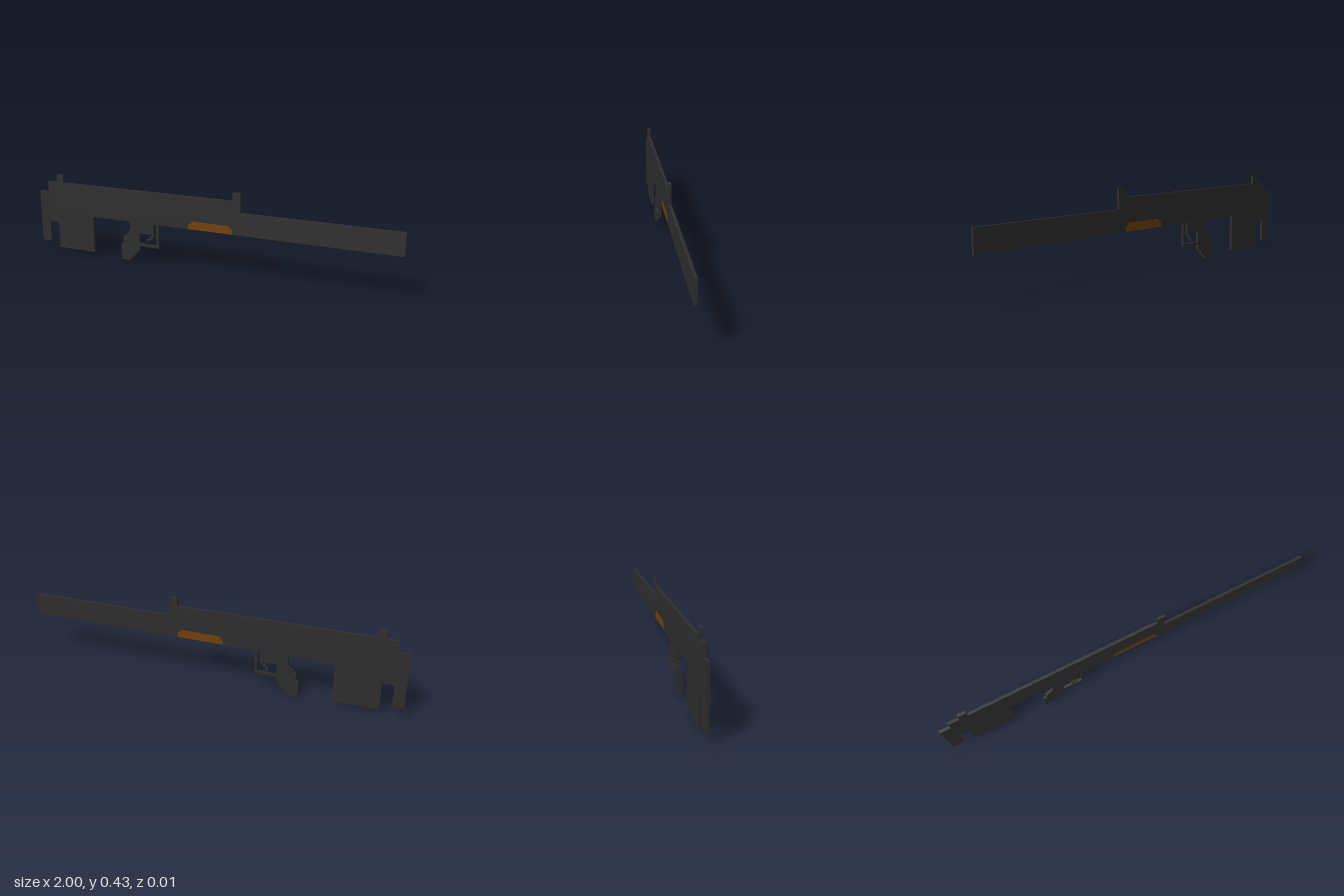
import * as THREE from 'three';

const U = 2 / 140; // one pixel of the sprite-like silhouette

export function createModel() {
  const group = new THREE.Group();
  const gunmetal = new THREE.MeshStandardMaterial({ color: 0x2e2e2e });
  gunmetal.name = 'gunmetal';
  const wood = new THREE.MeshStandardMaterial({ color: 0x724109 });
  wood.name = 'wood';

  // Flat part one pixel thick, from corners given in pixels
  function plate(name, corners, material = gunmetal) {
    const shape = new THREE.Shape(corners.map(([x, y]) => new THREE.Vector2(x * U, y * U)));
    const geometry = new THREE.ExtrudeGeometry(shape, { depth: U, bevelEnabled: false });
    geometry.translate(0, 0, -U / 2);
    const mesh = new THREE.Mesh(geometry, material);
    mesh.name = name;
    group.add(mesh);
  }
  const rect = (x0, y0, x1, y1) => [[x0, y0], [x1, y0], [x1, y1], [x0, y1]];

  // Stock, magazine and barrel
  plate('buttPlate', rect(-70, 3, -66, 23));
  plate('magazine', rect(-62, 1, -46, 15));
  plate('barrel', rect(14, 15, 70, 23));

  // Receiver, notched underneath for the hand guard
  plate('receiver', [
    [-66, 11], [-62, 11], [-62, 15], [-6, 15], [-6, 17], [-5, 17], [-5, 18],
    [10, 18], [10, 17], [11, 17], [11, 15], [14, 15], [14, 27], [-66, 27],
  ]);
  plate('handGuard', [
    [-6, 15], [11, 15], [11, 17], [10, 17], [10, 18], [-5, 18], [-5, 17], [-6, 17],
  ], wood);

  // Sights
  plate('rearSight', rect(-62, 27, -59, 30));
  plate('frontSight', rect(11, 27, 14, 30));

  // Stepped pistol grip: [left, right, bottom, top] of each run of rows
  const gripRows = [
    [-34, -30, 0, 1], [-34, -29, 1, 2], [-34, -28, 2, 3], [-34, -27, 3, 4],
    [-34, -26, 4, 6], [-33, -26, 6, 9], [-32, -26, 9, 10], [-31, -26, 10, 11],
    [-30, -26, 11, 15],
  ];
  const right = gripRows.flatMap(([, r, b, t]) => [[r, b], [r, t]]);
  const left = gripRows.flatMap(([l, , b, t]) => [[l, b], [l, t]]).reverse();
  // Drop repeated and collinear corners of the stepped outline
  const outline = [...right, ...left].filter(([x, y], i, all) => {
    const [px, py] = all[(i + all.length - 1) % all.length];
    const [nx, ny] = all[(i + 1) % all.length];
    return (x - px) * (ny - y) !== (y - py) * (nx - x);
  });
  plate('grip', outline);

  // Trigger housing, trigger and its guard
  plate('triggerHousing', rect(-26, 11, -20, 15));
  for (let i = 0; i < 3; i++) plate('trigger', rect(-23 + i, 8 + i, -22 + i, 9 + i));
  plate('triggerGuard', [[-26, 6], [-18, 6], [-18, 15], [-19, 15], [-19, 7], [-26, 7]]);

  return group;
}
